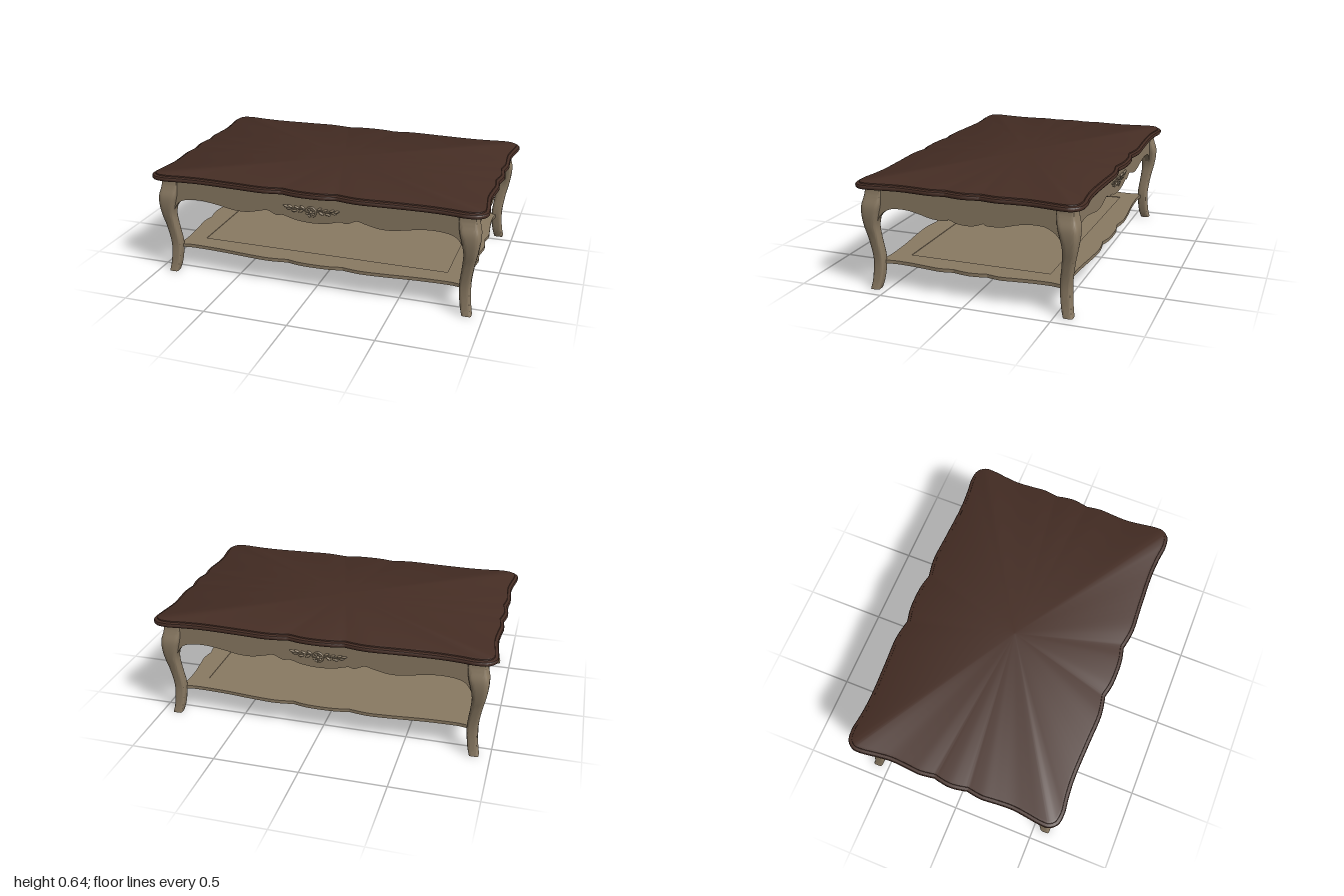
import * as THREE from 'three';
import { toCreasedNormals } from 'three/addons/utils/BufferGeometryUtils.js';

const paint = new THREE.MeshStandardMaterial({ color: 0x8a7a63 });
paint.name = 'taupe paint';
const wood = new THREE.MeshStandardMaterial({ color: 0x452d24 });
wood.name = 'dark wood';

function add(parent, name, geometry, material = paint) {
  const mesh = new THREE.Mesh(geometry, material);
  mesh.name = name;
  parent.add(mesh);
  return mesh;
}

// Closed scalloped outline from one quarter, given as [x, z] from front centre to side centre
function outline(quarter, count) {
  const back = quarter.slice(0, -1).reverse().map(([x, z]) => [x, -z]);
  const half = [...quarter, ...back];
  const left = half.slice(1, -1).reverse().map(([x, z]) => [-x, z]);
  const pts = [...half, ...left].map(([x, z]) => new THREE.Vector3(x, 0, z));
  return new THREE.CatmullRomCurve3(pts, true).getPoints(count).slice(0, -1);
}

// Move an outline inwards by d and lift it to height y
function inset(ring, d, y) {
  const n = ring.length;
  return ring.map((p, i) => {
    const t = ring[(i + 1) % n].clone().sub(ring[(i + n - 1) % n]).normalize();
    return new THREE.Vector3(p.x + t.z * d, y, p.z - t.x * d);
  });
}

// Skin stacked rings (bottom to top) and close both ends
function loft(rings, crease = 0.6) {
  const n = rings[0].length, pos = [], idx = [];
  rings.flat().forEach(p => pos.push(p.x, p.y, p.z));
  for (let i = 0; i < rings.length - 1; i++) {
    for (let j = 0; j < n; j++) {
      const a = i * n + j, b = i * n + (j + 1) % n;
      idx.push(a, b, b + n, a, b + n, a + n);
    }
  }
  [rings[0], rings[rings.length - 1]].forEach((ring, end) => {
    const c = pos.length / 3, start = end ? (rings.length - 1) * n : 0;
    const mid = ring.reduce((s, p) => s.add(p), new THREE.Vector3()).divideScalar(n);
    pos.push(mid.x, mid.y, mid.z);
    for (let j = 0; j < n; j++) {
      const a = start + j, b = start + (j + 1) % n;
      if (end) idx.push(c, a, b); else idx.push(c, b, a);
    }
  });
  const g = new THREE.BufferGeometry();
  g.setAttribute('position', new THREE.Float32BufferAttribute(pos, 3));
  g.setIndex(idx);
  return toCreasedNormals(g, crease);
}

// Cabriole leg: [y, inner, outer, squareness exponent] measured along z; x is shifted outwards
function legGeometry(sx, sz) {
  const levels = [
    [0, 0.545, 0.6, 0.4], [0.04, 0.534, 0.592, 0.4], [0.1, 0.525, 0.586, 0.42], [0.18, 0.52, 0.584, 0.48],
    [0.3, 0.533, 0.6, 0.52], [0.38, 0.538, 0.617, 0.52], [0.45, 0.525, 0.626, 0.48],
    [0.5, 0.512, 0.624, 0.4], [0.55, 0.506, 0.609, 0.25], [0.58, 0.505, 0.602, 0.14], [0.608, 0.505, 0.602, 0.14],
  ];
  const size = new THREE.CatmullRomCurve3(levels.map(([y, i, o]) => new THREE.Vector3(i, y, o)));
  const round = new THREE.CatmullRomCurve3(levels.map(([y, , , e]) => new THREE.Vector3(e, y, 0)));
  const rings = [];
  for (let k = 0; k <= 40; k++) {
    const s = size.getPoint(k / 40), e = round.getPoint(k / 40).x;
    const c = (s.x + s.z) / 2, h = (s.z - s.x) / 2;
    const bend = v => Math.sign(v) * Math.abs(v) ** e * h;
    rings.push(Array.from({ length: 40 }, (_, j) => {
      const a = (j + 0.5) / 40 * Math.PI * 2;
      return new THREE.Vector3(sx * (c + 0.335) + bend(Math.sin(a)), s.y, sz * c + bend(Math.cos(a)));
    }));
  }
  return loft(rings);
}

// Apron board with a scalloped lower edge, given from the centre outwards
function apronGeometry(edge) {
  const L = edge[edge.length - 1][0];
  const pts = [...edge.slice(1).reverse().map(([x, y]) => [-x, y]), ...edge].map(p => new THREE.Vector2(...p));
  const shape = new THREE.Shape();
  shape.moveTo(-L, 0.607);
  shape.lineTo(pts[0].x, pts[0].y);
  shape.splineThru(pts.slice(1));
  shape.lineTo(L, 0.607);
  const g = new THREE.ExtrudeGeometry(shape, { depth: 0.03, bevelEnabled: false, curveSegments: 120 });
  return toCreasedNormals(g.translate(0, 0, -0.03), 0.5);
}

// Carved rosette with leafy scrolls, lying on the plane z = 0
function ornament() {
  const g = new THREE.Group();
  g.name = 'carvedOrnament';
  const ball = new THREE.SphereGeometry(1, 12, 8);
  const blob = (name, x, y, w, h, d, turn = 0) => {
    const m = add(g, name, ball);
    m.position.set(x, y, 0);
    m.scale.set(w, h, d);
    m.rotation.z = turn;
  };
  add(g, 'rosetteRim', new THREE.TorusGeometry(0.028, 0.006, 8, 28));
  blob('rosetteHeart', 0, 0, 0.01, 0.01, 0.014);
  for (let i = 0; i < 8; i++) {
    const a = i * Math.PI / 4;
    blob('rosettePetal', Math.cos(a) * 0.016, Math.sin(a) * 0.016, 0.011, 0.006, 0.01, a);
  }
  for (const s of [-1, 1]) {
    const stem = new THREE.CatmullRomCurve3(
      [[0.03, 0.004], [0.06, 0.014], [0.09, 0.008], [0.12, 0.01], [0.15, 0.018]]
        .map(([x, y]) => new THREE.Vector3(s * x, y, 0)));
    add(g, 'scrollStem', new THREE.TubeGeometry(stem, 24, 0.005, 6));
    [[0.05, 0.022, 0.5], [0.06, -0.002, -0.5], [0.085, 0.018, 0.4], [0.1, -0.004, -0.2],
      [0.125, 0.02, 0.4], [0.135, 0.006, 0], [0.152, 0.018, 0.3]]
      .forEach(([x, y, a]) => blob('scrollLeaf', s * x, y, 0.017, 0.007, 0.009, s * a));
  }
  return g;
}

export function createModel() {
  const table = new THREE.Group();
  table.name = 'coffeeTable';

  // Table top: scalloped slab with rounded rim and a small raised step
  const topRing = outline([
    [0, 0.655], [0.09, 0.65], [0.15, 0.637], [0.165, 0.635], [0.18, 0.638], [0.28, 0.653], [0.45, 0.646],
    [0.68, 0.638], [0.8, 0.645], [0.89, 0.655], [0.96, 0.642], [0.995, 0.6], [0.998, 0.55], [0.985, 0.45],
    [0.977, 0.37], [0.982, 0.27], [0.988, 0.19], [0.978, 0.112], [0.976, 0.1], [0.979, 0.088], [0.992, 0],
  ], 320);
  const rim = [[0.014, 0.605], [0.004, 0.608], [0, 0.614], [0, 0.624], [0.004, 0.63], [0.013, 0.633],
    [0.02, 0.634], [0.022, 0.64], [0.032, 0.645]];
  add(table, 'tableTop', loft(rim.map(([d, y]) => inset(topRing, d, y))), wood);

  // Painted lining and cross bar beneath the top
  add(table, 'topLining', new THREE.BoxGeometry(1.8, 0.008, 1.14).translate(0, 0.601, 0));
  add(table, 'crossBar', new THREE.BoxGeometry(0.03, 0.03, 1.14).translate(0, 0.582, 0));

  // Legs
  for (const sx of [-1, 1]) for (const sz of [-1, 1]) add(table, 'leg', legGeometry(sx, sz));

  // Aprons, with a carved ornament on the two long ones
  const longApron = apronGeometry([[0, 0.44], [0.09, 0.447], [0.15, 0.463], [0.18, 0.468], [0.2, 0.462],
    [0.22, 0.465], [0.27, 0.485], [0.32, 0.474], [0.4, 0.457], [0.48, 0.458], [0.58, 0.476], [0.68, 0.489],
    [0.77, 0.485], [0.83, 0.465], [0.865, 0.42], [0.885, 0.37]]);
  const shortApron = apronGeometry([[0, 0.445], [0.05, 0.45], [0.09, 0.464], [0.103, 0.467], [0.113, 0.459],
    [0.15, 0.457], [0.21, 0.462], [0.28, 0.48], [0.34, 0.492], [0.4, 0.494], [0.45, 0.488], [0.5, 0.46],
    [0.53, 0.42], [0.545, 0.36]]);
  for (let i = 0; i < 4; i++) {
    const long = i % 2 === 0;
    const side = new THREE.Group();
    side.name = long ? 'longSide' : 'shortSide';
    side.rotation.y = i * Math.PI / 2;
    add(side, 'apron', long ? longApron : shortApron).position.z = long ? 0.594 : 0.928;
    if (long) {
      const carving = ornament();
      carving.position.set(0, 0.508, 0.594);
      side.add(carving);
    }
    table.add(side);
  }

  // Lower shelf: scalloped frame around a slightly sunken panel
  const shelfRing = outline([
    [0, 0.57], [0.1, 0.565], [0.16, 0.552], [0.17, 0.55], [0.18, 0.552], [0.28, 0.565], [0.42, 0.558],
    [0.62, 0.54], [0.8, 0.535], [0.88, 0.54], [0.875, 0.46], [0.878, 0.36], [0.89, 0.25], [0.897, 0.18],
    [0.886, 0.11], [0.884, 0.1], [0.887, 0.09], [0.9, 0],
  ], 260);
  const frame = new THREE.Shape(shelfRing.map(p => new THREE.Vector2(p.x, -p.z)));
  frame.holes.push(new THREE.Path([[-0.76, -0.42], [-0.76, 0.42], [0.76, 0.42], [0.76, -0.42]]
    .map(p => new THREE.Vector2(...p))));
  const frameGeo = new THREE.ExtrudeGeometry(frame, { depth: 0.02, bevelEnabled: false });
  add(table, 'shelfFrame', toCreasedNormals(frameGeo.rotateX(-Math.PI / 2).translate(0, 0.147, 0), 0.5));
  add(table, 'shelfPanel', new THREE.BoxGeometry(1.52, 0.012, 0.84).translate(0, 0.157, 0));

  // Support rail under the shelf, with slanted ends
  const rail = new THREE.Shape([[-0.81, 0.132], [0.81, 0.132], [0.83, 0.152], [-0.83, 0.152]]
    .map(p => new THREE.Vector2(...p)));
  add(table, 'shelfRail', new THREE.ExtrudeGeometry(rail, { depth: 0.095, bevelEnabled: false }).translate(0, 0, -0.0475));

  return table;
}
